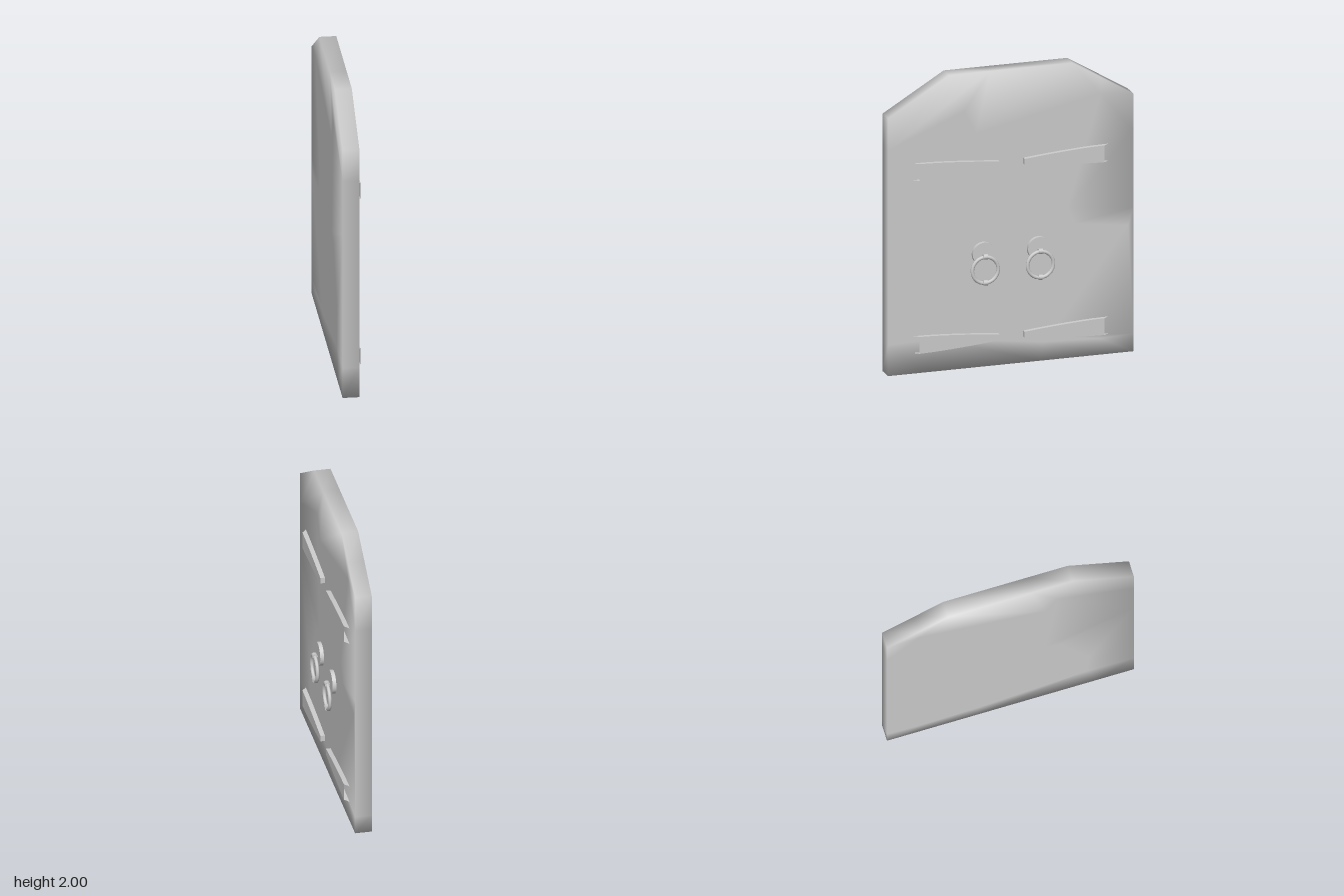
import * as THREE from 'three';

const BACK = -0.09, FACE = 0.02;
const material = new THREE.MeshStandardMaterial({ color: 0xcccccc });
const thinMaterial = new THREE.MeshStandardMaterial({ color: 0xcccccc, side: THREE.DoubleSide });

// Door outline, counter-clockwise, as [u, y] with u = -z
const outline = [[-0.835, 0], [0.835, 0], [0.835, 1.75], [0.42, 2], [-0.42, 2], [-0.835, 1.75]];

// Crack junctions on the door face
const P = {
  a: [-0.835, 1.53], b: [-0.32, 1.74], c: [-0.14, 2], d: [-0.235, 1.58], e: [0.39, 1.02],
  f: [0.615, 1.77], g: [0.615, 1.883], h: [0.835, 1.505], i: [0.44, 0.91], j: [0.39, 0.97],
  k: [-0.235, 0.91], l: [-0.335, 0.865], m: [-0.835, 1.155], n: [-0.53, 0.475], o: [-0.835, 0.725],
  p: [-0.515, 0.22], q: [-0.835, 0.21], r: [0.22, 0.125], s: [0.8, 0.86], t: [0.61, 0.11],
  u: [0.835, 0.98], v: [0.27, 0.16], w: [0.835, 0.12], x: [-0.59, 0], y: [0.205, 0], z: [0.64, 0],
  0: outline[0], 1: outline[1], 2: outline[2], 3: outline[3], 4: outline[4], 5: outline[5],
};
// Each fragment lists its junctions in order
const fragments = ['abc45', 'mlkdba', 'kjed', 'defg3cb', 'fh2g', 'ejisuhf', 'ivtwus', 'monl',
  'oqpn', 'nprvijkl', 'q0xp', 'pxyr', 'ryztv', 'tz1w'];

const rims = outline.map((a, k) => {
  const b = outline[(k + 1) % outline.length];
  const normal = new THREE.Vector3(b[1] - a[1], a[0] - b[0], 0).normalize();
  return { normal, offset: normal.x * a[0] + normal.y * a[1] };
});

// One extruded fragment, with normals rounded over at the outer rim only
function fragmentGeometry(code) {
  const shape = new THREE.Shape([...code].map(c => new THREE.Vector2(...P[c])));
  const geo = new THREE.ExtrudeGeometry(shape, { depth: FACE - BACK, bevelEnabled: false });
  const pos = geo.attributes.position, nor = geo.attributes.normal;
  const v = new THREE.Vector3(), n = new THREE.Vector3();
  for (let k = 0; k < pos.count; k++) {
    v.fromBufferAttribute(pos, k);
    n.fromBufferAttribute(nor, k);
    const touching = rims.filter(r => Math.abs(r.normal.x * v.x + r.normal.y * v.y - r.offset) < 0.006);
    const isCap = Math.abs(n.z) > 0.5;
    if (!isCap && !touching.some(r => r.normal.dot(n) > 0.99)) continue;
    n.set(0, 0, v.z > 0.01 ? 1 : -1);
    touching.forEach(r => n.add(r.normal));
    n.normalize();
    nor.setXYZ(k, n.x, n.y, n.z);
  }
  geo.rotateY(Math.PI / 2);
  geo.translate(BACK, 0, 0);
  return geo;
}

// Tapering strap: a shallow channel, closed at the narrow end, with pointed flanges at the wide end
function strapGeometry() {
  const steps = 8, top = 0.05, verts = [], index = [];
  for (let k = 0; k <= steps; k++) {
    const t = k / steps;
    const half = 0.02 + 0.037 * (1 - Math.pow(1 - t, 1.5));
    const z = 0.085 + 0.545 * t;
    const foot = k === steps ? z + 0.035 : z;
    verts.push(FACE, half, foot, top, half, z, top, -half, z, FACE, -half, foot);
    if (k === 0) continue;
    for (let s = 0; s < 3; s++) {
      const a = (k - 1) * 4 + s, b = a + 4;
      index.push(a, b, a + 1, a + 1, b, b + 1);
    }
  }
  index.push(0, 1, 2, 0, 2, 3);
  const indexed = new THREE.BufferGeometry();
  indexed.setAttribute('position', new THREE.Float32BufferAttribute(verts, 3));
  indexed.setIndex(index);
  const geo = indexed.toNonIndexed();
  geo.computeVertexNormals();
  return geo;
}

function add(parent, name, geo, x, y, z, mat = material) {
  const mesh = new THREE.Mesh(geo, mat);
  mesh.name = name;
  mesh.position.set(x, y, z);
  parent.add(mesh);
  return mesh;
}

// Round back plate with a hanging ring and its two collars
function ringPull(z) {
  const pull = new THREE.Group();
  pull.name = 'ringPull';
  const plate = new THREE.CylinderGeometry(0.078, 0.078, 0.025, 32).rotateZ(-Math.PI / 2);
  add(pull, 'backPlate', plate, 0.0325, 0.77, 0);
  const ring = new THREE.TorusGeometry(0.088, 0.012, 10, 36).rotateY(Math.PI / 2);
  add(pull, 'ring', ring, 0.065, 0.668, 0);
  const collar = new THREE.CylinderGeometry(0.018, 0.018, 0.028, 12).rotateX(Math.PI / 2);
  for (const side of [-1, 1]) add(pull, 'ringCollar', collar, 0.065, 0.67 + side * 0.088, 0);
  pull.position.z = z;
  return pull;
}

export function createModel() {
  const door = new THREE.Group();
  door.name = 'crackedDoor';

  // Slab made of fitted fragments
  const slab = new THREE.Group();
  slab.name = 'doorSlab';
  fragments.forEach((code, k) => add(slab, `slabFragment${k + 1}`, fragmentGeometry(code), 0, 0, 0));
  door.add(slab);

  // Upper and lower straps, mirrored
  const strap = strapGeometry();
  for (const y of [1.37, 0.197]) {
    for (const side of [-1, 1]) add(door, 'strap', strap, 0, y, 0, thinMaterial).scale.z = side;
  }

  // Ring pulls
  for (const side of [-1, 1]) door.add(ringPull(side * 0.188));
  return door;
}
